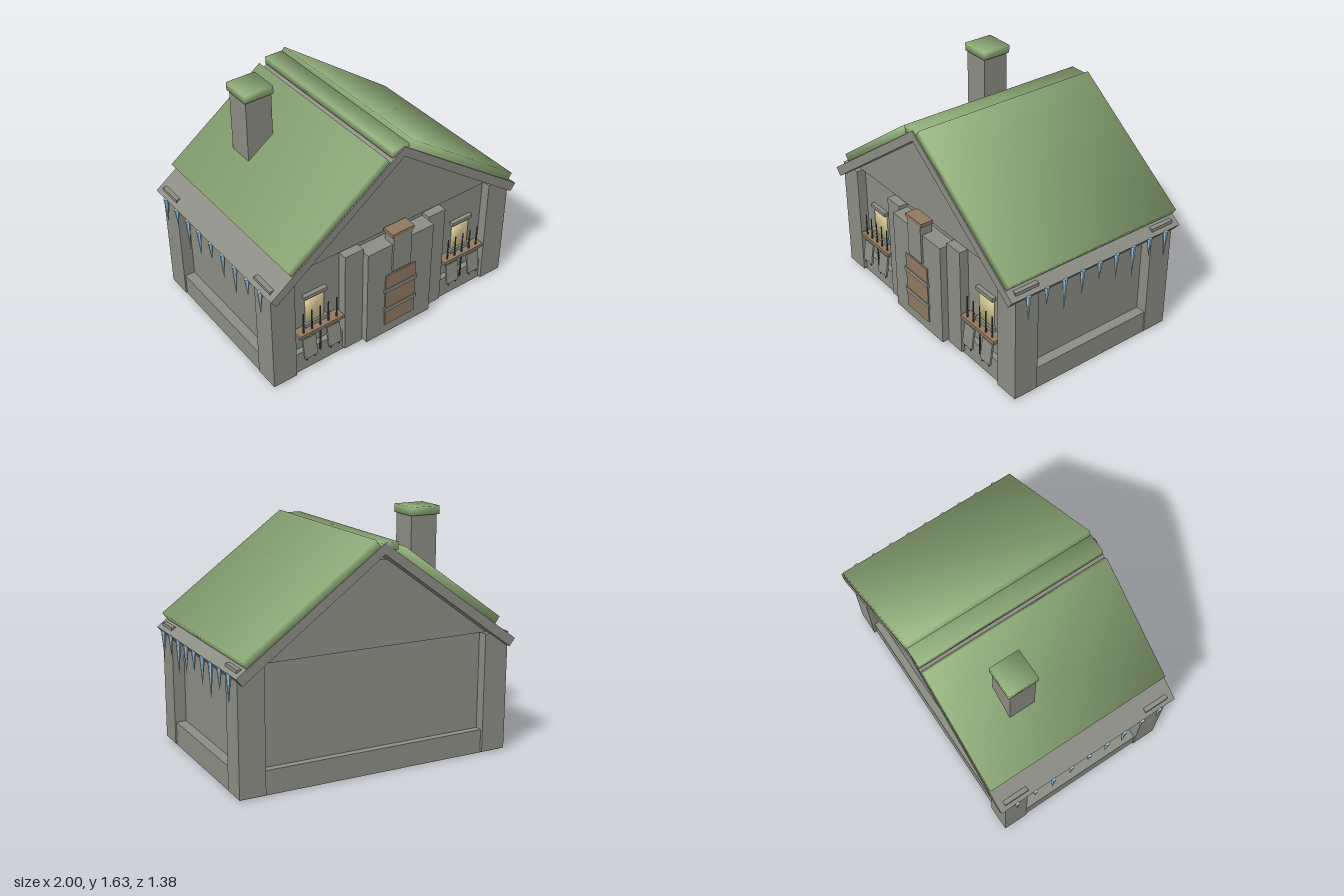
import * as THREE from 'three';

const mat = (name, color) => Object.assign(new THREE.MeshStandardMaterial({ color }), { name });

export function createModel() {
  const stone = mat('stone', 0x8c8e84);
  const moss = mat('moss', 0x97b680);
  const wood = mat('wood', 0x907a62);
  const glow = mat('windowGlow', 0xe8d9a2);
  const ice = mat('ice', 0x9cc6de);
  const iron = mat('iron', 0x4c4e4a);
  const house = new THREE.Group();
  house.name = 'house';

  const add = (name, geo, material, parent = house) => {
    const m = new THREE.Mesh(geo, material);
    m.name = name;
    parent.add(m);
    return m;
  };
  // Box given by its lower and upper limits on each axis
  const box = (name, x0, x1, y0, y1, z0, z1, material = stone, parent = house) => {
    const m = add(name, new THREE.BoxGeometry(x1 - x0, y1 - y0, z1 - z0), material, parent);
    m.position.set((x0 + x1) / 2, (y0 + y1) / 2, (z0 + z1) / 2);
    return m;
  };
  // Soft shading: every corner normal points diagonally outwards
  const soften = (mesh) => {
    const { position: p, normal: n } = mesh.geometry.attributes;
    const k = 1 / Math.sqrt(3);
    for (let i = 0; i < p.count; i++) {
      n.setXYZ(i, Math.sign(p.getX(i)) * k, Math.sign(p.getY(i)) * k, Math.sign(p.getZ(i)) * k);
    }
    return mesh;
  };
  // Front outline extruded between two depths
  const prism = (name, pts, z0, z1, material) => {
    const shape = new THREE.Shape(pts.map(([x, y]) => new THREE.Vector2(x, y)));
    const geo = new THREE.ExtrudeGeometry(shape, { depth: z1 - z0, bevelEnabled: false });
    return add(name, geo.translate(0, 0, z0), material);
  };

  // Body
  box('plinth', -0.95, 0.95, 0, 0.16, -0.625, 0.6);
  box('walls', -0.88, 0.88, 0.1, 0.83, -0.575, 0.56);
  prism('gable', [[-0.83, 0.82], [0.83, 0.82], [0.07, 1.372], [-0.07, 1.372]], -0.595, 0.58, stone);
  for (const s of [-1, 1]) {
    const [x0, x1] = s < 0 ? [-0.96, -0.785] : [0.785, 0.96];
    box('frontPost', x0, x1, 0.01, 0.82, 0.45, 0.625);
    box('backPost', x0, x1, 0.01, 0.82, -0.645, -0.47);
  }

  // Roof slabs joined at the ridge
  const ridge = 1.49, slope = 0.722, pitch = Math.atan(slope);
  prism('roofSlabs', [[0, ridge], [-0.985, 0.78], [-0.945, 0.73], [0, 1.42], [0.945, 0.73], [0.985, 0.78]],
    -0.69, 0.67, stone);

  // Moss layers lying on the slabs
  const mossPad = (name, side, x0, x1) => {
    const t = 0.056, xm = (x0 + x1) / 2;
    const pad = add(name, new THREE.BoxGeometry((x1 - x0) / Math.cos(pitch), t, 1.35), moss);
    pad.position.set(side * (xm + Math.sin(pitch) * t / 2), ridge - slope * xm + Math.cos(pitch) * t / 2, -0.0125);
    pad.rotation.z = -side * pitch;
    soften(pad);
  };
  mossPad('leftRoofMoss', 1, 0.03, 0.915);
  mossPad('rightRoofMoss', -1, 0.105, 0.825);
  soften(box('ridgeMoss', -0.09, 0.04, 1.44, 1.492, -0.687, 0.662, moss));

  // Chimney
  box('chimney', -0.575, -0.385, 0.95, 1.59, -0.355, -0.17);
  soften(box('chimneyCap', -0.585, -0.375, 1.58, 1.635, -0.37, -0.16, moss));

  // Entrance
  box('porch', -0.265, 0.265, 0.035, 0.775, 0.5, 0.675);
  for (const s of [-1, 1]) box('porchPillar', s * 0.335 - 0.07, s * 0.335 + 0.07, 0.02, 0.8, 0.5, 0.625);
  box('door', -0.122, 0.122, 0.115, 0.54, 0.67, 0.684, wood);
  for (const y of [0.235, 0.4]) box('doorStrap', -0.132, 0.132, y, y + 0.03, 0.67, 0.69);
  box('keystone', -0.073, 0.073, 0.56, 0.845, 0.6, 0.689);
  box('keystoneCap', -0.088, 0.088, 0.843, 0.868, 0.6, 0.692, wood);

  // Windows with a rack of spears and leaning shields below
  for (const s of [-1, 1]) {
    const bay = new THREE.Group();
    bay.name = 'windowBay';
    bay.position.x = s * 0.592;
    house.add(bay);
    soften(box('window', -0.068, 0.068, 0.365, 0.58, 0.53, 0.575, glow, bay)).position.x = s * 0.01;
    box('windowHood', -0.086, 0.086, 0.575, 0.6, 0.54, 0.59, stone, bay).position.x = s * 0.01;
    box('windowSill', -0.086, 0.086, 0.335, 0.366, 0.54, 0.59, stone, bay).position.x = s * 0.01;
    box('rackShelf', -0.172, 0.172, 0.315, 0.34, 0.55, 0.638, wood, bay);
    for (let i = -2; i <= 2; i++) {
      const shaft = add('spearShaft', new THREE.CylinderGeometry(0.004, 0.007, 0.22, 6), iron, bay);
      shaft.position.set(i * 0.064, 0.39, 0.615);
    }
    add('longSpear', new THREE.CylinderGeometry(0.006, 0.006, 0.22, 6), iron, bay).position.set(0, 0.23, 0.615);
    for (const k of [-1, 1]) {
      const shield = add('shield', new THREE.BoxGeometry(0.1, 0.155, 0.014), stone, bay);
      shield.position.set(k * 0.094, 0.215, 0.631);
      shield.rotation.x = -0.14;
      for (const f of [-0.032, 0.032]) {
        const peg = add('shieldPeg', new THREE.CylinderGeometry(0.006, 0.006, 0.03, 6), iron, bay);
        peg.position.set(k * 0.094 + f, 0.136, 0.642);
      }
    }
  }

  // Icicles along both eaves
  const lengths = [0.19, 0.14, 0.24, 0.19, 0.14, 0.19, 0.24, 0.14, 0.19];
  for (const s of [-1, 1]) {
    lengths.forEach((len, i) => {
      const cone = add('icicle', new THREE.ConeGeometry(0.018, len, 6).rotateX(Math.PI).toNonIndexed(), ice);
      cone.geometry.computeVertexNormals();
      cone.position.set(s * 0.982, 0.782 - len / 2, 0.547 - i * 0.1395);
    });
  }
  return house;
}
